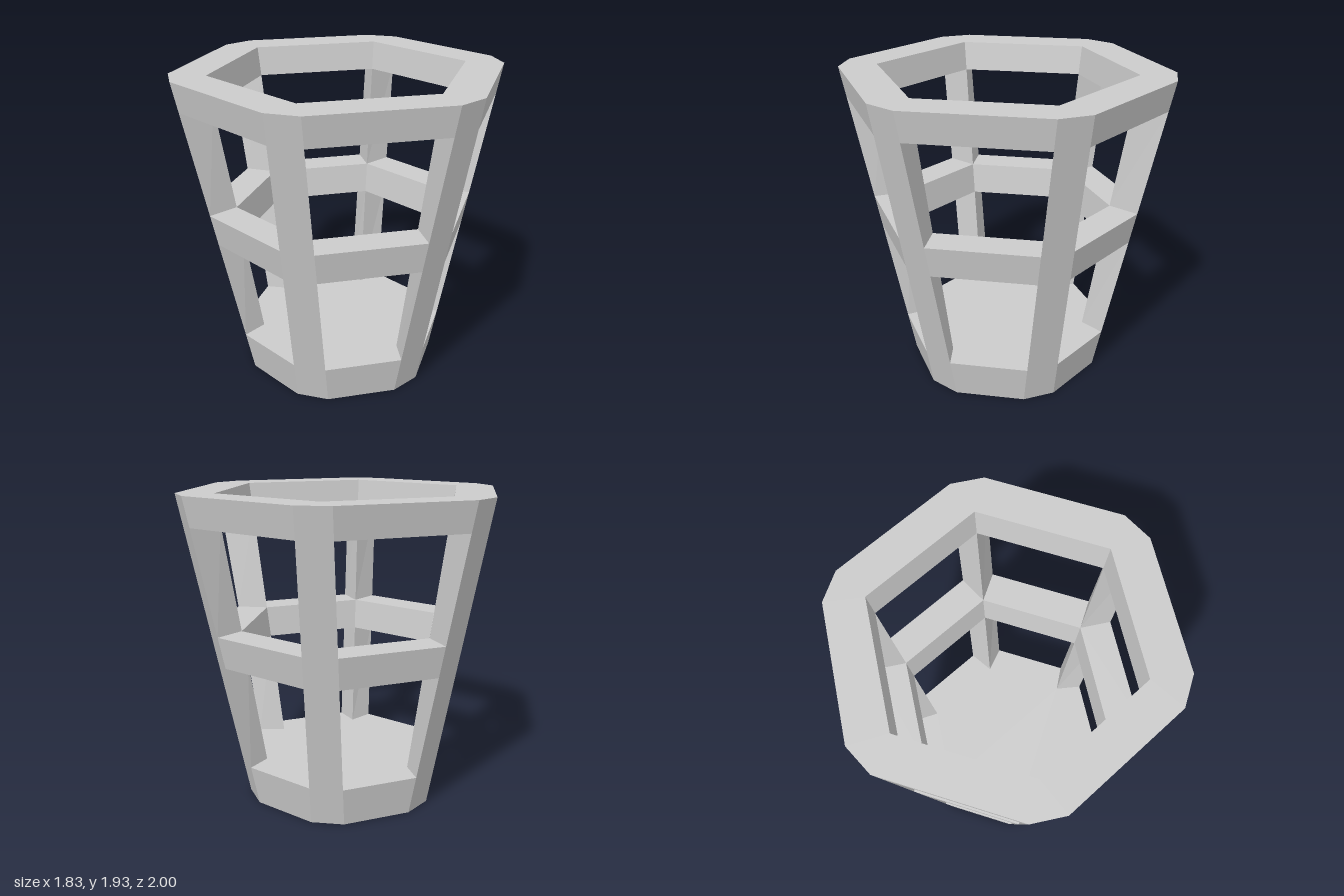
import * as THREE from 'three';

const H = 1.93, FLOOR = 0.245, MID = [0.905, 1.1], TOP = [1.75, H];
const HALF = 0.1, COS30 = Math.cos(Math.PI / 6);

// Point on leg i at height y, dist out from the axis, across to its side
function place(i, dist, across, y) {
  const t = i * Math.PI / 3;
  return [
    dist * Math.sin(t) + across * Math.cos(t), y,
    dist * Math.cos(t) - across * Math.sin(t),
  ];
}
// Outer edges (side -1 or +1) and inner tip of the tapering triangular legs
const edge = (i, side, y) =>
  place(i, (0.57 + 0.345 * y / H) / COS30 - HALF / Math.sqrt(3), side * HALF, y);
const tip = (i, y) => place(i, (0.54 + 0.14 * (y - 0.905)) / COS30, 0, y);

const material = new THREE.MeshStandardMaterial({
  color: 0xcccccc, flatShading: true, side: THREE.DoubleSide,
});

// Mesh from convex polygons given counter-clockwise
function faces(name, polygons) {
  const pos = [];
  for (const p of polygons)
    for (let k = 1; k < p.length - 1; k++) pos.push(...p[0], ...p[k], ...p[k + 1]);
  const geometry = new THREE.BufferGeometry();
  geometry.setAttribute('position', new THREE.Float32BufferAttribute(pos, 3));
  geometry.computeVertexNormals();
  const mesh = new THREE.Mesh(geometry, material);
  mesh.name = name;
  return mesh;
}

// Outer wall panel between leg i and the next one
const panel = (i, y0, y1) =>
  [edge(i, 1, y0), edge(i + 1, -1, y0), edge(i + 1, -1, y1), edge(i, 1, y1)];
// Upward-facing sill between two legs
const sill = (i, y) => [edge(i, 1, y), edge(i + 1, -1, y), tip(i + 1, y), tip(i, y)];

// Leg: full-height outer face, sides showing in the windows, cap on top
function leg(i) {
  const list = [
    [edge(i, -1, 0), edge(i, 1, 0), edge(i, 1, H), edge(i, -1, H)],
    [edge(i, -1, H), edge(i, 1, H), tip(i, H)],
  ];
  for (const [a, b] of [[FLOOR, MID[0]], [MID[1], TOP[0]]]) {
    list.push([edge(i, 1, a), tip(i, a), tip(i, b), edge(i, 1, b)]);
    list.push([tip(i, a), edge(i, -1, a), edge(i, -1, b), tip(i, b)]);
  }
  return faces('leg', list);
}

// Rail: outer, inner, top and bottom faces between two legs
function rail(name, i, [a, b]) {
  return faces(name, [
    panel(i, a, b),
    [tip(i + 1, a), tip(i, a), tip(i, b), tip(i + 1, b)],
    sill(i, b),
    sill(i, a).reverse(),
  ]);
}

export function createModel() {
  const model = new THREE.Group();
  model.name = 'hexagonalBasket';
  const floor = [[]];
  for (let i = 0; i < 6; i++) {
    model.add(leg(i), rail('topRail', i, TOP), rail('middleRail', i, MID));
    // Base skirt, open underneath
    model.add(faces('baseSkirt', [panel(i, 0, FLOOR)]));
    floor[0].push(tip(i, FLOOR));
    floor.push(sill(i, FLOOR));
  }
  // Thin floor running out to the skirt, notched at the legs
  model.add(faces('floor', floor));
  return model;
}
